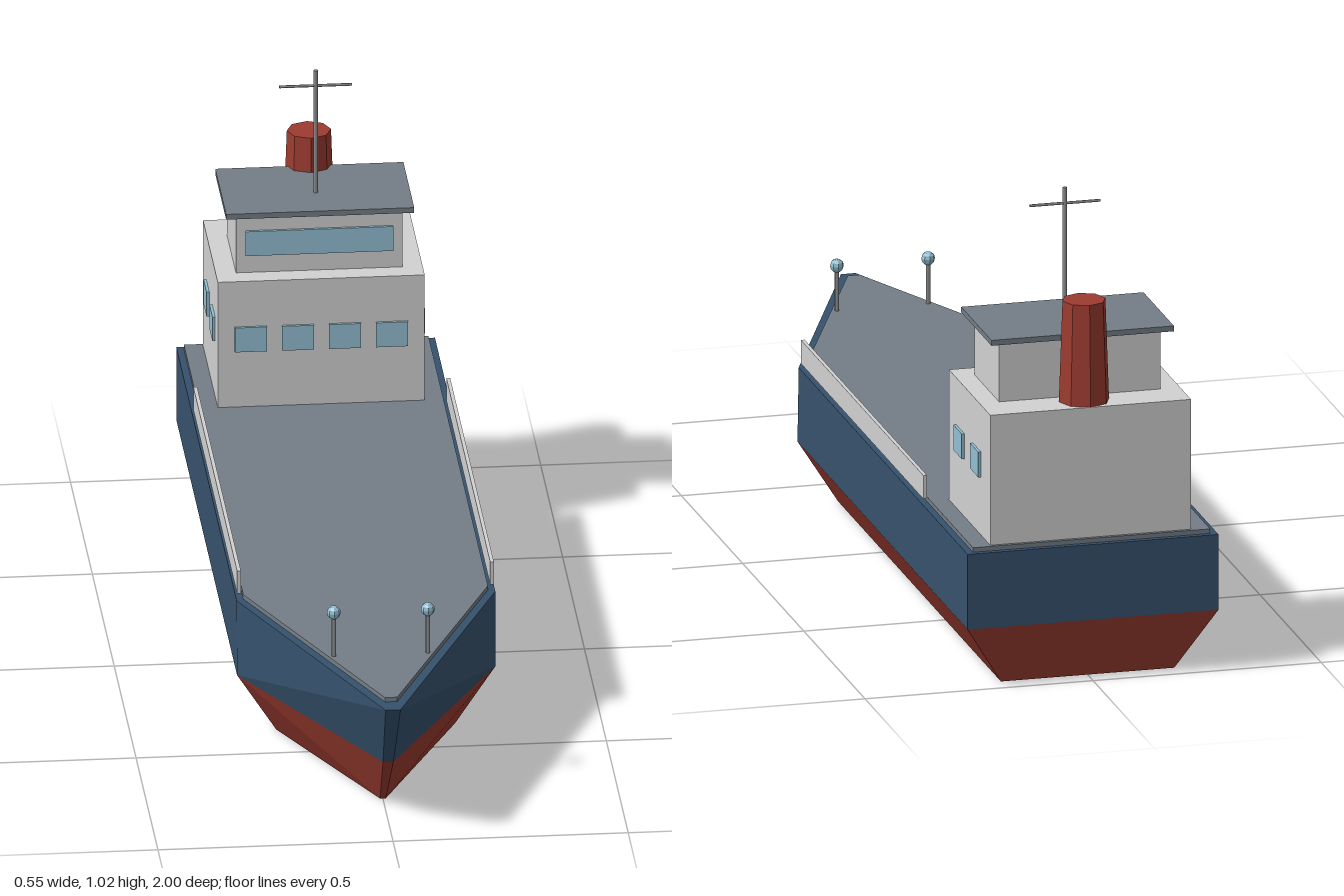
import * as THREE from 'three';

const mat = (name, color) => {
  const m = new THREE.MeshStandardMaterial({ color });
  m.name = name;
  return m;
};

export function createModel() {
  const ship = new THREE.Group();
  ship.name = 'cargoShip';

  const navy = mat('navy', 0x36526d);
  const red = mat('red', 0x9c3b30);
  const deckGrey = mat('deckGrey', 0x747e87);
  const white = mat('paleGrey', 0xd2d2d2);
  const glass = mat('glass', 0x93bfd1);
  const steel = mat('steel', 0x8a8c8e);
  for (const m of [red, glass]) m.flatShading = true;

  const add = (name, geo, material, x = 0, y = 0, z = 0) => {
    const mesh = new THREE.Mesh(geo, material);
    mesh.name = name;
    mesh.position.set(x, y, z);
    ship.add(mesh);
    return mesh;
  };
  // Box given by its lower and upper limits
  const box = (name, material, [x0, x1], [y0, y1], [z0, z1]) =>
    add(name, new THREE.BoxGeometry(x1 - x0, y1 - y0, z1 - z0), material,
      (x0 + x1) / 2, (y0 + y1) / 2, (z0 + z1) / 2);

  // Waterline outline: bow, shoulder and stern corners, mirrored
  const ring = (y, bowX, bowZ, sideX, shoulderZ, sternZ) => {
    const half = [[bowX, y, bowZ], [sideX, y, shoulderZ], [sideX, y, sternZ]];
    return [...half, ...half.slice().reverse().map(([x, h, z]) => [-x, h, z])];
  };
  // Faceted band between two outlines; rising sets the diagonal on the +x side
  const band = (a, b, rising, capBottom, capTop) => {
    const tris = [];
    for (let i = 0; i < 6; i++) {
      const j = (i + 1) % 6;
      if ((i < 3) === rising) tris.push(a[i], a[j], b[j], a[i], b[j], b[i]);
      else tris.push(a[i], a[j], b[i], a[j], b[j], b[i]);
    }
    for (let i = 1; i < 5; i++) {
      if (capBottom) tris.push(a[0], a[i + 1], a[i]);
      if (capTop) tris.push(b[0], b[i], b[i + 1]);
    }
    const g = new THREE.BufferGeometry();
    g.setAttribute('position', new THREE.Float32BufferAttribute(tris.flat(), 3));
    g.computeVertexNormals();
    return g;
  };

  // Hull
  const keel = ring(0, 0.006, 0.767, 0.19, 0.375, -0.955);
  const water = ring(0.135, 0.011, 0.888, 0.275, 0.39, -1);
  const sheer = ring(0.302, 0.016, 1, 0.275, 0.38, -1);
  add('lowerHull', band(keel, water, true, true, false), red);
  add('upperHull', band(water, sheer, false, false, true), navy);

  // Deck
  add('deck', band(ring(0.3, 0.013, 0.955, 0.26, 0.372, -0.988),
    ring(0.312, 0.013, 0.955, 0.26, 0.372, -0.988), true, true, true), deckGrey);

  // Deckhouse and bridge
  box('deckhouse', white, [-0.22, 0.22], [0.31, 0.6], [-0.98, -0.642]);
  box('bridge', white, [-0.177, 0.177], [0.6, 0.733], [-0.892, -0.69]);
  box('bridgeRoof', deckGrey, [-0.2, 0.2], [0.733, 0.745], [-0.915, -0.667]);

  // Windows
  box('bridgeWindow', glass, [-0.157, 0.157], [0.64, 0.696], [-0.692, -0.684]);
  for (const x of [-0.15, -0.05, 0.05, 0.15])
    box('frontWindow', glass, [x - 0.034, x + 0.034], [0.44, 0.496], [-0.644, -0.636]);
  for (const z of [-0.735, -0.87]) {
    box('leftWindow', glass, [0.218, 0.226], [0.44, 0.496], [z - 0.034, z + 0.034]);
    box('rightWindow', glass, [-0.226, -0.218], [0.44, 0.496], [z - 0.034, z + 0.034]);
  }

  // Funnel
  add('funnel', new THREE.CylinderGeometry(0.047, 0.055, 0.223, 8), red, 0, 0.7115, -0.925);

  // Mast with crossbar
  add('mast', new THREE.CylinderGeometry(0.005, 0.005, 0.285, 8), steel, 0, 0.8825, -0.77);
  add('crossbar', new THREE.CylinderGeometry(0.003, 0.003, 0.155, 6), steel, 0, 0.99, -0.77)
    .rotation.z = Math.PI / 2;

  // Side rails and bow lamps
  for (const s of [1, -1]) {
    add('sideRail', new THREE.BoxGeometry(0.008, 0.052, 1), white, s * 0.269, 0.34, -0.13);
    add('lampPost', new THREE.CylinderGeometry(0.005, 0.005, 0.095, 6), steel, s * 0.1, 0.3565, 0.72);
    add('lamp', new THREE.SphereGeometry(0.015, 8, 6), glass, s * 0.1, 0.412, 0.72);
  }
  return ship;
}
